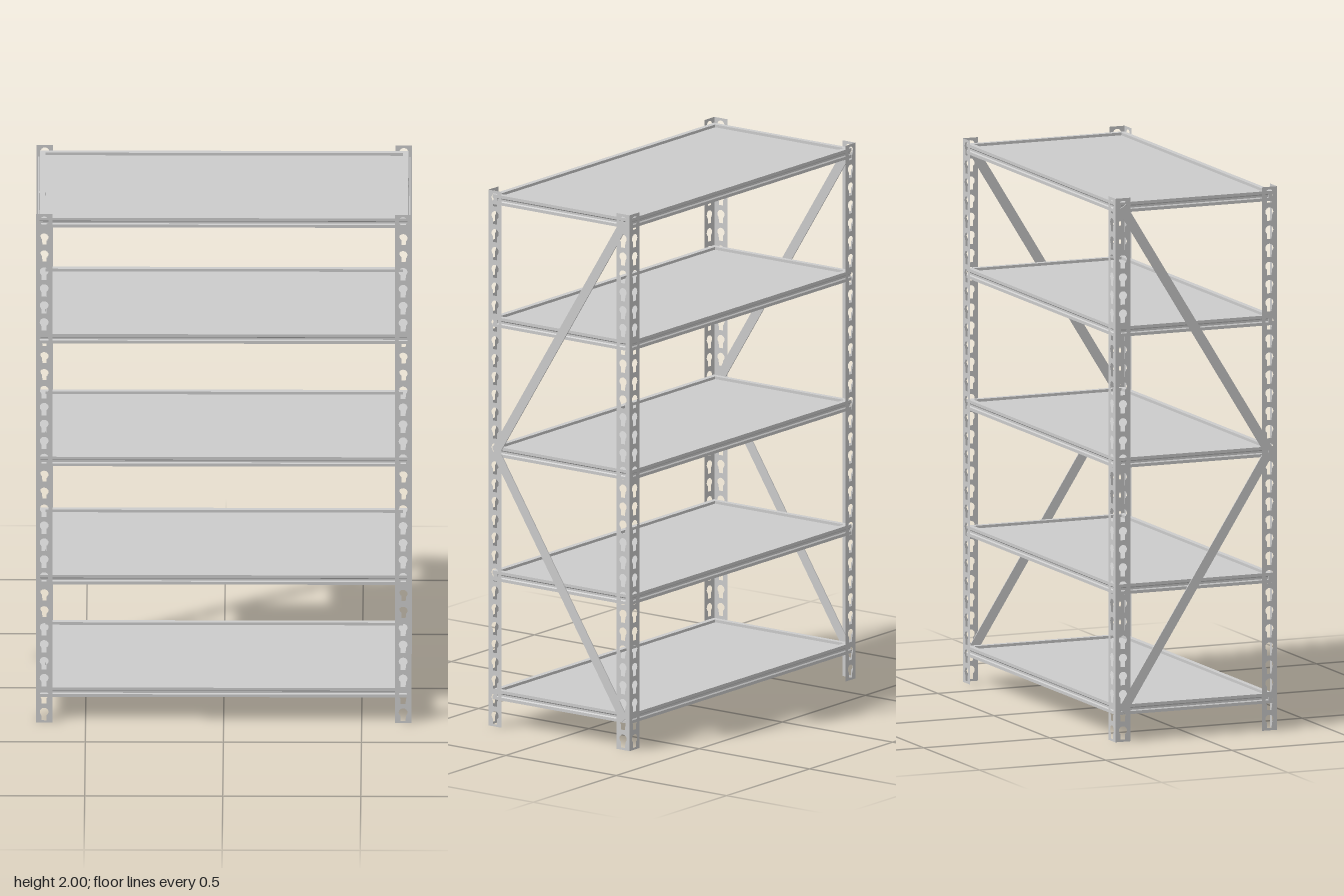
import * as THREE from 'three';

const HX = 0.68, HZ = 0.32;          // outer faces of the posts
const SX = 0.667, SZ = 0.312;        // outer faces of the shelf beams
const POST_W = 0.06, HEIGHT = 2, PITCH = 1 / 15;
const BEAM_H = 0.037;
const LEVELS = [0.097, 0.54, 1.005, 1.488, 1.945]; // undersides of the shelves

const steel = new THREE.MeshStandardMaterial({ color: 0xcccccc, side: THREE.DoubleSide, flatShading: true });

function add(parent, name, geometry) {
  const mesh = new THREE.Mesh(geometry, steel);
  mesh.name = name;
  parent.add(mesh);
  return mesh;
}

// Keyhole: round head above a narrower slot
function keyhole(x, y) {
  const path = new THREE.Path();
  path.moveTo(x - 0.009, y - 0.025);
  path.lineTo(x + 0.009, y - 0.025);
  path.lineTo(x + 0.009, y - 0.004);
  path.absarc(x, y + 0.008, 0.016, -0.85, Math.PI + 0.85, false);
  path.closePath();
  return path;
}

// One perforated sheet flange, its outer edge at x = 0
function flangeGeometry() {
  const shape = new THREE.Shape();
  shape.moveTo(0, 0);
  shape.lineTo(POST_W, 0);
  shape.lineTo(POST_W, HEIGHT);
  shape.lineTo(0, HEIGHT);
  shape.closePath();
  for (let i = 0; i < 30; i++) shape.holes.push(keyhole(POST_W / 2, (i + 0.5) * PITCH));
  return new THREE.ShapeGeometry(shape, 6);
}

// Beam with a groove along its outer face, which lies at x = 0
function beamGeometry(length) {
  const h = BEAM_H;
  const points = [
    [-0.02, 0], [0, 0], [0, 0.011], [-0.004, 0.015],
    [-0.004, 0.022], [0, 0.026], [0, h], [-0.02, h],
  ].map(([x, y]) => new THREE.Vector2(x, y));
  const geometry = new THREE.ExtrudeGeometry(new THREE.Shape(points), { depth: length, bevelEnabled: false });
  return geometry.translate(0, 0, -length / 2);
}

export function createModel() {
  const model = new THREE.Group();
  model.name = 'shelvingUnit';

  // Corner posts: two perforated flanges each, mirrored into the corners
  const flange = flangeGeometry();
  for (const sx of [-1, 1]) {
    for (const sz of [-1, 1]) {
      const post = new THREE.Group();
      post.name = 'cornerPost';
      const wide = add(post, 'postFaceFlange', flange);
      const side = add(post, 'postSideFlange', flange);
      wide.rotation.y = sx > 0 ? Math.PI : 0;
      side.rotation.y = sz > 0 ? Math.PI / 2 : -Math.PI / 2;
      post.position.set(sx * HX, 0, sz * HZ);
      model.add(post);
    }
  }

  // Shelves: a recessed panel framed by four beams
  const longBeam = beamGeometry(2 * SX);
  const shortBeam = beamGeometry(2 * SZ - 0.01);
  const panel = new THREE.BoxGeometry(2 * SX - 0.03, BEAM_H - 0.012, 2 * SZ - 0.03);
  for (const y of LEVELS) {
    const shelf = new THREE.Group();
    shelf.name = 'shelf';
    shelf.position.y = y;
    add(shelf, 'shelfPanel', panel).position.y = BEAM_H / 2 - 0.004;
    for (const s of [-1, 1]) {
      const long = add(shelf, s > 0 ? 'frontBeam' : 'backBeam', longBeam);
      long.rotation.y = -s * Math.PI / 2;
      long.position.z = s * SZ;
      const short = add(shelf, s > 0 ? 'leftBeam' : 'rightBeam', shortBeam);
      short.rotation.y = s > 0 ? 0 : Math.PI;
      short.position.x = s * SX;
    }
    model.add(shelf);
  }

  // Diagonal braces on both ends, meeting at the front posts
  const braces = [
    [-0.29, 1.965, 0.29, 1.03],
    [0.29, 1.02, -0.29, 0.11],
  ];
  for (const s of [-1, 1]) {
    for (const [z0, y0, z1, y1] of braces) {
      const dz = z1 - z0, dy = y1 - y0;
      const brace = add(model, 'diagonalBrace', new THREE.BoxGeometry(0.004, Math.hypot(dz, dy), 0.036));
      brace.position.set(s * (SX + 0.005), (y0 + y1) / 2, (z0 + z1) / 2);
      brace.rotation.x = Math.atan2(dz, dy);
    }
  }
  return model;
}
